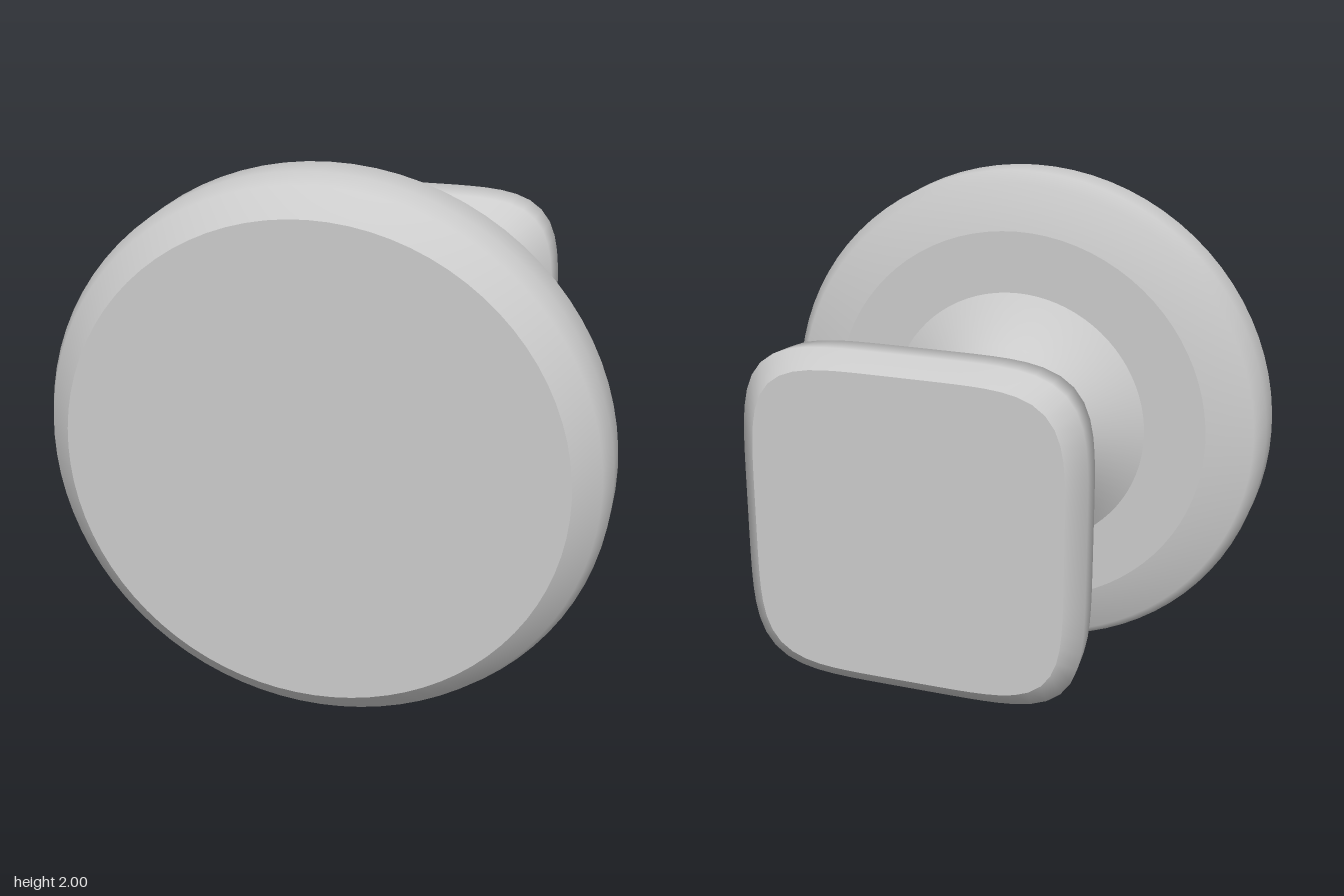
import * as THREE from 'three';

const SEG = 80;
const material = new THREE.MeshStandardMaterial({ color: 0xcccccc });

// Superellipse point: exponent 2 is a circle, higher values approach a square
function sectionPoint(half, n, i) {
  const a = (i / SEG) * Math.PI * 2;
  const c = Math.cos(a), s = Math.sin(a);
  const r = half / Math.pow(Math.abs(c) ** n + Math.abs(s) ** n, 1 / n);
  return new THREE.Vector2(r * c, r * s);
}

// Smooth skin through sections [z, half size, exponent], ordered by rising z
function loft(sections) {
  const pos = [], index = [];
  sections.forEach(([z, half, n], k) => {
    for (let i = 0; i < SEG; i++) {
      const p = sectionPoint(half, n, i);
      pos.push(p.x, p.y, z);
      if (k === 0) continue;
      const j = (i + 1) % SEG, lo = (k - 1) * SEG, hi = k * SEG;
      index.push(lo + i, lo + j, hi + j, lo + i, hi + j, hi + i);
    }
  });
  const geo = new THREE.BufferGeometry();
  geo.setAttribute('position', new THREE.Float32BufferAttribute(pos, 3));
  geo.setIndex(index);
  geo.computeVertexNormals();
  return geo;
}

export function createModel() {
  const model = new THREE.Group();
  const add = (parent, name, geo) => {
    const mesh = new THREE.Mesh(geo, material);
    mesh.name = name;
    parent.add(mesh);
    return mesh;
  };

  // Round front disc: rounded rim with flat front and back faces
  const disc = new THREE.Group();
  disc.name = 'frontDisc';
  const rim = [[0.78, 0.41], [0.96, 0.455], [1, 0.505], [1, 0.64], [0.97, 0.705], [0.88, 0.787]]
    .map(([r, z]) => new THREE.Vector2(r, z));
  add(disc, 'discRim', new THREE.LatheGeometry(rim, SEG).rotateX(Math.PI / 2));
  add(disc, 'discFace', new THREE.CircleGeometry(0.88, SEG)).position.z = 0.787;
  add(disc, 'discBack', new THREE.RingGeometry(0.53, 0.78, SEG).rotateY(Math.PI)).position.z = 0.41;
  model.add(disc);

  // Waisted stem flaring from a round root into the rounded square base
  add(model, 'stemAndBase', loft([
    [-0.787, 0.56, 5],
    [-0.73, 0.62, 5],
    [-0.61, 0.61, 5],
    [-0.315, 0.3, 3],
    [-0.11, 0.24, 2.1],
    [0.11, 0.25, 2],
    [0.285, 0.35, 2],
    [0.41, 0.535, 2],
  ]));

  // Flat rear face of the base
  const outline = [];
  for (let i = 0; i < SEG; i++) outline.push(sectionPoint(0.56, 5, i));
  add(model, 'baseFace', new THREE.ShapeGeometry(new THREE.Shape(outline)).rotateY(Math.PI)).position.z = -0.787;

  model.position.y = 1;
  const root = new THREE.Group();
  root.name = 'wallKnob';
  root.add(model);
  return root;
}
